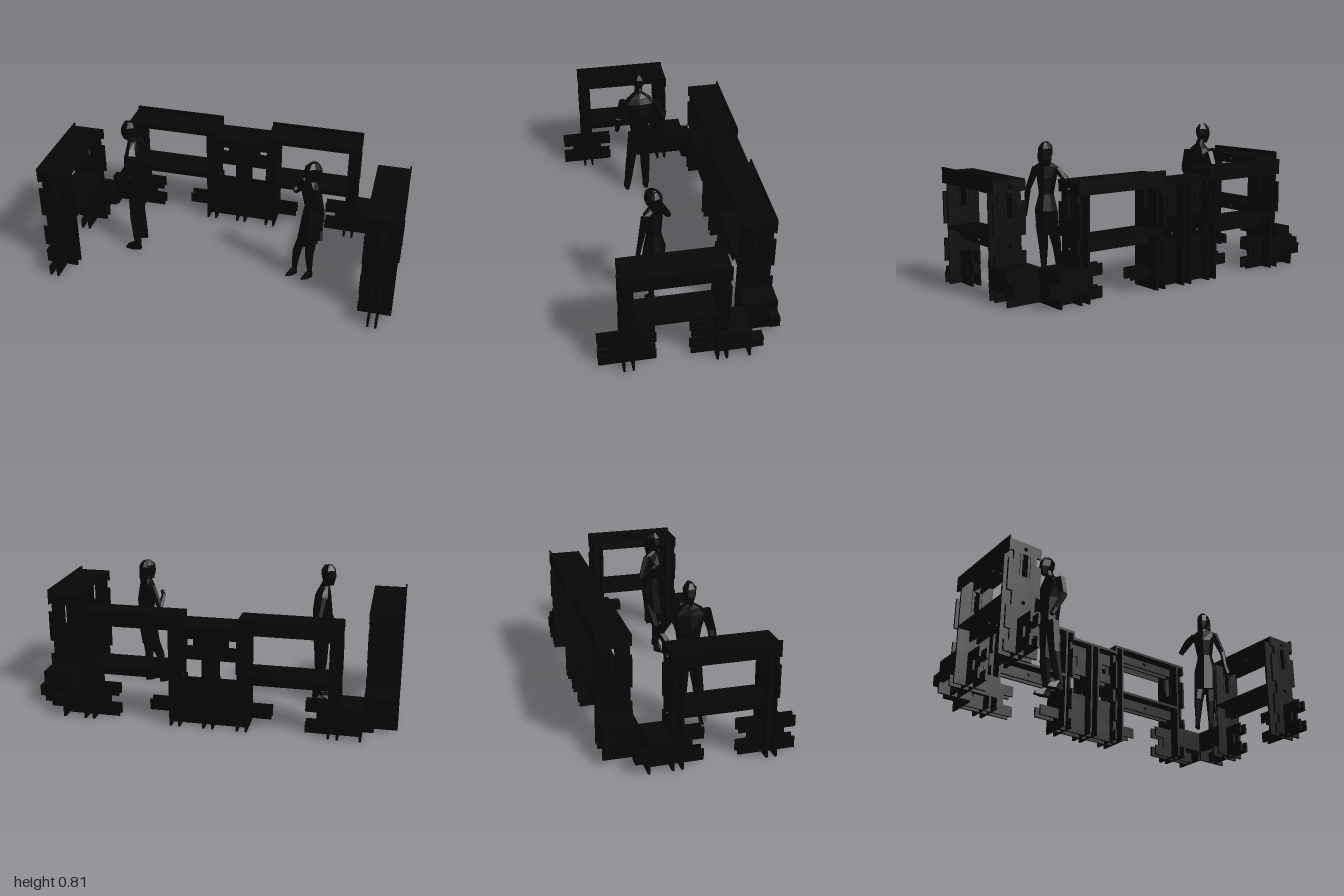
import * as THREE from 'three';

const mat = new THREE.MeshStandardMaterial({ color: 0x060606, flatShading: true });
const T = 0.012; // sheet thickness
const W = 0.0925; // half depth of a counter

function add(parent, name, geo, x = 0, y = 0, z = 0) {
  const m = new THREE.Mesh(geo, mat);
  m.name = name;
  m.position.set(x, y, z);
  parent.add(m);
  return m;
}

// box given by its limits
function block(parent, name, x0, x1, y0, y1, z0, z1) {
  return add(parent, name, new THREE.BoxGeometry(x1 - x0, y1 - y0, z1 - z0),
    (x0 + x1) / 2, (y0 + y1) / 2, (z0 + z1) / 2);
}

// flat sheet with rectangular windows and round holes, centred on its thickness
function sheet(points, windows, holes) {
  const s = new THREE.Shape(points.map(p => new THREE.Vector2(...p)));
  for (const [x0, x1, y0, y1] of windows) {
    s.holes.push(new THREE.Path([[x0, y0], [x0, y1], [x1, y1], [x1, y0]].map(p => new THREE.Vector2(...p))));
  }
  for (const [x, y] of holes) s.holes.push(new THREE.Path().absarc(x, y, 0.011, 0, Math.PI * 2, true));
  return new THREE.ExtrudeGeometry(s, { depth: T, bevelEnabled: false, curveSegments: 6 }).translate(0, 0, -T / 2);
}

// one half of the long panel outline, from bottom middle round to top middle
const footHalf = [[0.2125, 0.245], [0.2125, 0.18], [0.09, 0.18], [0.09, 0.12], [0.15, 0.12], [0.15, 0.06],
  [0.09, 0.06], [0.09, 0], [0.3925, 0], [0.3925, 0.06], [0.3325, 0.06], [0.3325, 0.12], [0.3925, 0.12],
  [0.3925, 0.18], [0.2725, 0.18], [0.2725, 0.61]];
const plainHalf = [[0.2125, 0.245], [0.2125, 0], [0.2725, 0], [0.2725, 0.61]];
const mirror = pts => pts.map(([x, y]) => [-x, y]).reverse();

// cross frame seen along the counter; the notched version has slots in its sides
function crossFrame(notched) {
  const half = notched
    ? [[W, 0], [W, 0.06], [0.065, 0.06], [0.065, 0.12], [W, 0.12], [W, 0.245], [0.065, 0.245], [0.065, 0.325],
      [W, 0.325], [W, 0.5], [0.065, 0.5], [0.065, 0.55], [W, 0.55], [W, 0.61]]
    : [[W, 0], [W, 0.61]];
  return sheet([...half, ...mirror(half)], [[-0.03, 0.03, 0.42, 0.545]], [[0, 0.575], [0, 0.275], [0, 0.09]])
    .rotateY(Math.PI / 2);
}

// tall counter: length on x, outer side on +z, corner joint at the end given by s
function counter(name, s, freeFoot) {
  const g = new THREE.Group();
  g.name = name;
  const a = footHalf, b = freeFoot ? footHalf : plainHalf;
  const right = s > 0 ? a : b, left = s > 0 ? b : a;
  for (const z of [-0.0275 + T / 2, 0.0275 - T / 2]) {
    add(g, 'longPanel', sheet([...right, ...mirror(left)], [[-0.2125, 0.2125, 0.325, 0.545]],
      [[0, 0.575], [0, 0.275]]), 0, 0, z);
  }
  for (const e of [-1, 1]) {
    add(g, 'outerCrossFrame', crossFrame(true), e * (0.2725 - T / 2));
    add(g, 'innerCrossFrame', crossFrame(false), e * (0.2125 + T / 2));
  }
  block(g, 'counterTop', -0.2725, 0.2725, 0.595, 0.61, -W, W);
  block(g, 'shelf', -0.2125, 0.2125, 0.305, 0.32, -W, W);
  block(g, 'edgeLip', -0.2725, 0.2725, 0.545, 0.63, W - 0.008, W);
  // low corner joint
  const span = (u0, u1) => (s > 0 ? [u0, u1] : [-u1, -u0]);
  for (const z of [-W + T, W - T]) {
    block(g, 'cornerPanel', ...span(0.21, 0.3925), 0.06, 0.18, z - T, z + T);
  }
  block(g, 'cornerShelf', ...span(0.2725, 0.3925), 0.165, 0.18, -W, W);
  block(g, 'cornerEnd', ...span(0.38, 0.3925), 0, 0.18, -W, W);
  block(g, 'cornerTab', ...span(0.3925, 0.455), 0.06, 0.12, 0.037, W);
  return g;
}

// lower unit between the two back counters
function middleUnit() {
  const g = new THREE.Group();
  g.name = 'middleUnit';
  const half = [[0.21, 0], [0.21, 0.06], [0.335, 0.06], [0.335, 0.12], [0.21, 0.12], [0.21, 0.245],
    [0.16, 0.245], [0.16, 0.57]];
  const wins = [[-0.155, -0.03, 0.245, 0.37], [0.03, 0.155, 0.245, 0.37],
    [-0.155, -0.09, 0.425, 0.485], [0.09, 0.155, 0.425, 0.485]];
  for (const z of [-0.0275, 0.0275]) {
    add(g, 'middlePanel', sheet([...half, ...mirror(half)], wins, [[0, 0.275]]), 0, 0, z);
  }
  for (const x of [-0.03, 0.03]) {
    add(g, 'middleCrossPanel', sheet([[-W, 0], [W, 0], [W, 0.57], [-W, 0.57]], [],
      [[0, 0.455], [0, 0.275], [0, 0.09]]).rotateY(Math.PI / 2), x - Math.sign(x) * T / 2);
  }
  block(g, 'middleTop', -0.16, 0.16, 0.555, 0.57, -W, W);
  return g;
}

// closed loft through horizontal oval rings [x, y, z, rx, rz]
function loft(rings, n = 8) {
  const pos = [], idx = [];
  for (const [x, y, z, rx, rz] of rings) {
    for (let i = 0; i < n; i++) {
      const t = (i / n) * Math.PI * 2;
      pos.push(x + rx * Math.cos(t), y, z + rz * Math.sin(t));
    }
  }
  const last = (rings.length - 1) * n;
  for (let r = 0; r < last; r += n) {
    for (let i = 0; i < n; i++) {
      const j = (i + 1) % n;
      idx.push(r + i, r + n + i, r + j, r + j, r + n + i, r + n + j);
    }
  }
  for (let i = 1; i < n - 1; i++) idx.push(0, i, i + 1, last, last + i + 1, last + i);
  const g = new THREE.BufferGeometry();
  g.setAttribute('position', new THREE.Float32BufferAttribute(pos, 3));
  g.setIndex(idx);
  g.computeVertexNormals();
  return g;
}

// chain of tapered six-sided segments through [x, y, z, radius]
function limb(parent, name, pts) {
  for (let i = 0; i < pts.length - 1; i++) {
    const a = new THREE.Vector3(...pts[i]), b = new THREE.Vector3(...pts[i + 1]);
    const d = b.clone().sub(a);
    const m = add(parent, name, new THREE.CylinderGeometry(pts[i + 1][3], pts[i][3], d.length(), 6));
    m.position.copy(a).add(b).multiplyScalar(0.5);
    m.quaternion.setFromUnitVectors(new THREE.Vector3(0, 1, 0), d.normalize());
  }
}

// figures face their own +z
function standingMan() {
  const g = new THREE.Group();
  g.name = 'standingMan';
  add(g, 'torso', loft([[0, 0.35, -0.01, 0.06, 0.045], [0, 0.44, -0.01, 0.055, 0.048], [0, 0.54, -0.01, 0.07, 0.055],
    [0, 0.63, -0.01, 0.1, 0.045], [0, 0.665, -0.005, 0.065, 0.035], [0, 0.69, 0, 0.024, 0.026], [0, 0.72, 0.01, 0.022, 0.024]]));
  add(g, 'head', loft([[-0.005, 0.695, 0.025, 0.014, 0.025], [-0.005, 0.74, 0.02, 0.034, 0.045],
    [-0.005, 0.78, 0.015, 0.036, 0.043], [-0.005, 0.808, 0.015, 0.012, 0.025]], 6));
  limb(g, 'bentArm', [[-0.09, 0.64, -0.01, 0.03], [-0.15, 0.535, -0.02, 0.022], [-0.08, 0.42, 0.03, 0.017], [-0.065, 0.38, 0.05, 0.014]]);
  limb(g, 'restingArm', [[0.09, 0.64, -0.01, 0.03], [0.125, 0.53, -0.01, 0.023], [0.13, 0.43, 0.04, 0.017], [0.13, 0.39, 0.06, 0.013]]);
  for (const [s, x] of [[-1, -0.035], [1, 0.085]]) {
    limb(g, 'leg', [[s * 0.03, 0.4, -0.01, 0.042], [(x + s * 0.03) / 2, 0.21, -0.01, 0.03], [x, 0.03, -0.03, 0.02]]);
    add(g, 'shoe', loft([[x, 0, 0, 0.02, 0.055], [x, 0.02, -0.005, 0.018, 0.048], [x, 0.05, -0.03, 0.015, 0.02]], 6));
  }
  return g;
}

function standingWoman() {
  const g = new THREE.Group();
  g.name = 'standingWoman';
  add(g, 'dress', loft([[0, 0.245, 0.01, 0.065, 0.055], [0, 0.38, -0.01, 0.066, 0.055], [0, 0.47, -0.005, 0.043, 0.038],
    [0, 0.56, 0.005, 0.058, 0.048], [0, 0.62, 0, 0.07, 0.03], [0, 0.645, 0, 0.025, 0.022], [0, 0.68, 0.005, 0.018, 0.02]]));
  add(g, 'head', loft([[0, 0.645, 0.02, 0.016, 0.02], [0, 0.69, 0.01, 0.035, 0.042], [0, 0.73, 0.005, 0.034, 0.042],
    [0, 0.755, 0, 0.012, 0.018]]));
  add(g, 'hair', loft([[0, 0.62, -0.03, 0.025, 0.015], [0, 0.66, -0.025, 0.04, 0.025], [0, 0.72, -0.02, 0.039, 0.03],
    [0, 0.75, -0.01, 0.02, 0.02]]));
  limb(g, 'bentArm', [[-0.06, 0.61, 0, 0.022], [-0.14, 0.5, 0.015, 0.016], [-0.09, 0.56, 0.06, 0.012], [-0.06, 0.575, 0.065, 0.012]]);
  limb(g, 'hangingArm', [[0.06, 0.61, 0, 0.022], [0.105, 0.49, -0.01, 0.016], [0.12, 0.39, 0, 0.012], [0.135, 0.34, 0.01, 0.014]]);
  for (const [hx, x, z] of [[-0.03, -0.045, 0.06], [0.03, 0.02, -0.005]]) {
    limb(g, 'leg', [[hx, 0.3, 0, 0.035], [(hx + x) / 2, 0.17, z * 0.7 + 0.01, 0.025], [x, 0.035, z, 0.013]]);
    add(g, 'shoe', loft([[x, 0, z + 0.02, 0.014, 0.04], [x, 0.02, z + 0.01, 0.014, 0.03], [x, 0.045, z, 0.013, 0.015]], 6));
  }
  return g;
}

export function createModel() {
  const model = new THREE.Group();
  model.name = 'counterSet';
  const place = (part, x, z, turn) => {
    part.position.set(x, 0, z);
    part.rotation.y = turn;
    model.add(part);
  };
  place(counter('leftCounter', 1, true), 0.9075, 0.0925, Math.PI / 2);
  place(counter('rightCounter', -1, true), -0.9075, 0.0925, -Math.PI / 2);
  place(counter('backLeftCounter', -1, false), 0.425, -0.3925, Math.PI);
  place(counter('backRightCounter', 1, false), -0.425, -0.3925, Math.PI);
  place(middleUnit(), 0, -0.3925, Math.PI);
  place(standingMan(), -0.555, 0.035, -Math.PI / 2);
  place(standingWoman(), 0.495, 0.125, -0.9);
  return model;
}
